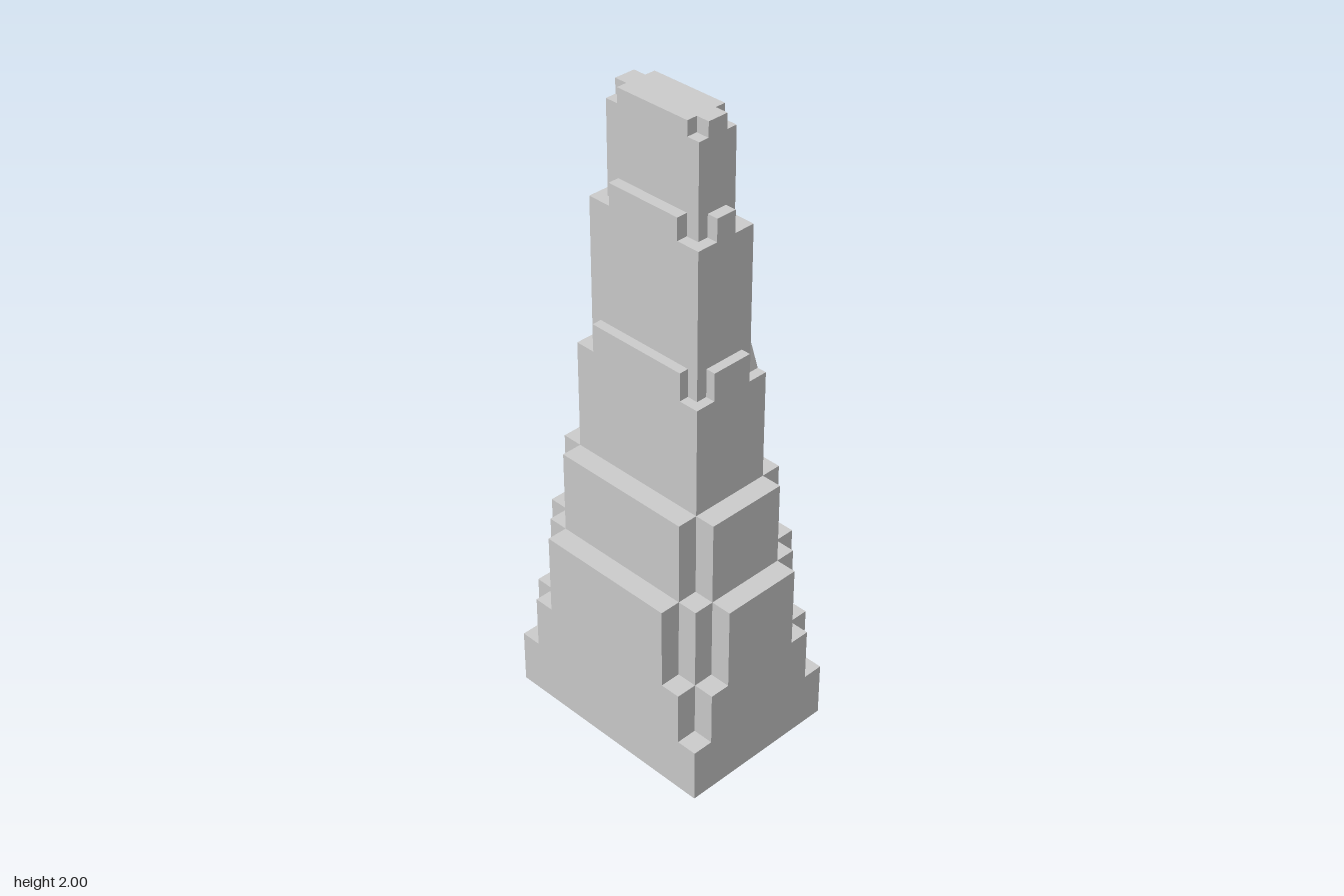
import * as THREE from 'three';

const material = new THREE.MeshStandardMaterial({ color: 0xcccccc, flatShading: true });

// Full floor plan from the outline of one quarter, mirrored in x and z
function planShape(quarter) {
  const mirror = (sx, sz) => quarter.map(([x, z]) => new THREE.Vector2(sx * x, sz * z));
  return new THREE.Shape([
    ...mirror(1, 1), ...mirror(-1, 1).reverse(),
    ...mirror(-1, -1), ...mirror(1, -1).reverse(),
  ]);
}

// One storey: a floor plan raised from y0 to y1
function storey(name, y0, y1, quarter) {
  const geometry = new THREE.ExtrudeGeometry(planShape(quarter), { depth: y1 - y0, bevelEnabled: false });
  geometry.rotateX(-Math.PI / 2).translate(0, y0, 0);
  const mesh = new THREE.Mesh(geometry, material);
  mesh.name = name;
  return mesh;
}

export function createModel() {
  const tower = new THREE.Group();
  tower.name = 'steppedTower';

  // Storeys from the ground up; the corners step inward with height
  const storeys = [
    ['base', 0, 0.175, [[0.261, 0.361]]],
    ['notchedBase', 0.175, 0.347, [[0.261, 0.295], [0.195, 0.295], [0.195, 0.361]]],
    ['lowerWings', 0.347, 0.61,
      [[0.261, 0.23], [0.195, 0.23], [0.195, 0.295], [0.13, 0.295], [0.13, 0.361]]],
    ['upperWings', 0.61, 0.873, [[0.195, 0.23], [0.13, 0.23], [0.13, 0.295]]],
    ['lowerShaft', 0.873, 1.217, [[0.13, 0.23]]],
    ['lowerParapet', 1.217, 1.305,
      [[0.13, 0.166], [0.1, 0.166], [0.1, 0.2], [0.066, 0.2], [0.066, 0.23]]],
    ['middleShaft', 1.305, 1.673, [[0.1, 0.2]]],
    ['middleParapet', 1.673, 1.741,
      [[0.1, 0.125], [0.066, 0.125], [0.066, 0.166], [0.033, 0.166], [0.033, 0.2]]],
    ['topShaft', 1.741, 1.955, [[0.066, 0.166]]],
    ['crown', 1.955, 2, [[0.066, 0.125], [0.033, 0.125], [0.033, 0.166]]],
  ];
  for (const s of storeys) tower.add(storey(...s));

  // Sloping end of the parapet at the front left corner
  const triangle = new THREE.Shape([
    new THREE.Vector2(0.166, 1.217), new THREE.Vector2(0.2, 1.217), new THREE.Vector2(0.166, 1.305),
  ]);
  const wedge = new THREE.ExtrudeGeometry(triangle, { depth: 0.03, bevelEnabled: false });
  wedge.rotateY(-Math.PI / 2).translate(0.13, 0, 0);
  const slope = new THREE.Mesh(wedge, material);
  slope.name = 'parapetSlope';
  tower.add(slope);

  return tower;
}
